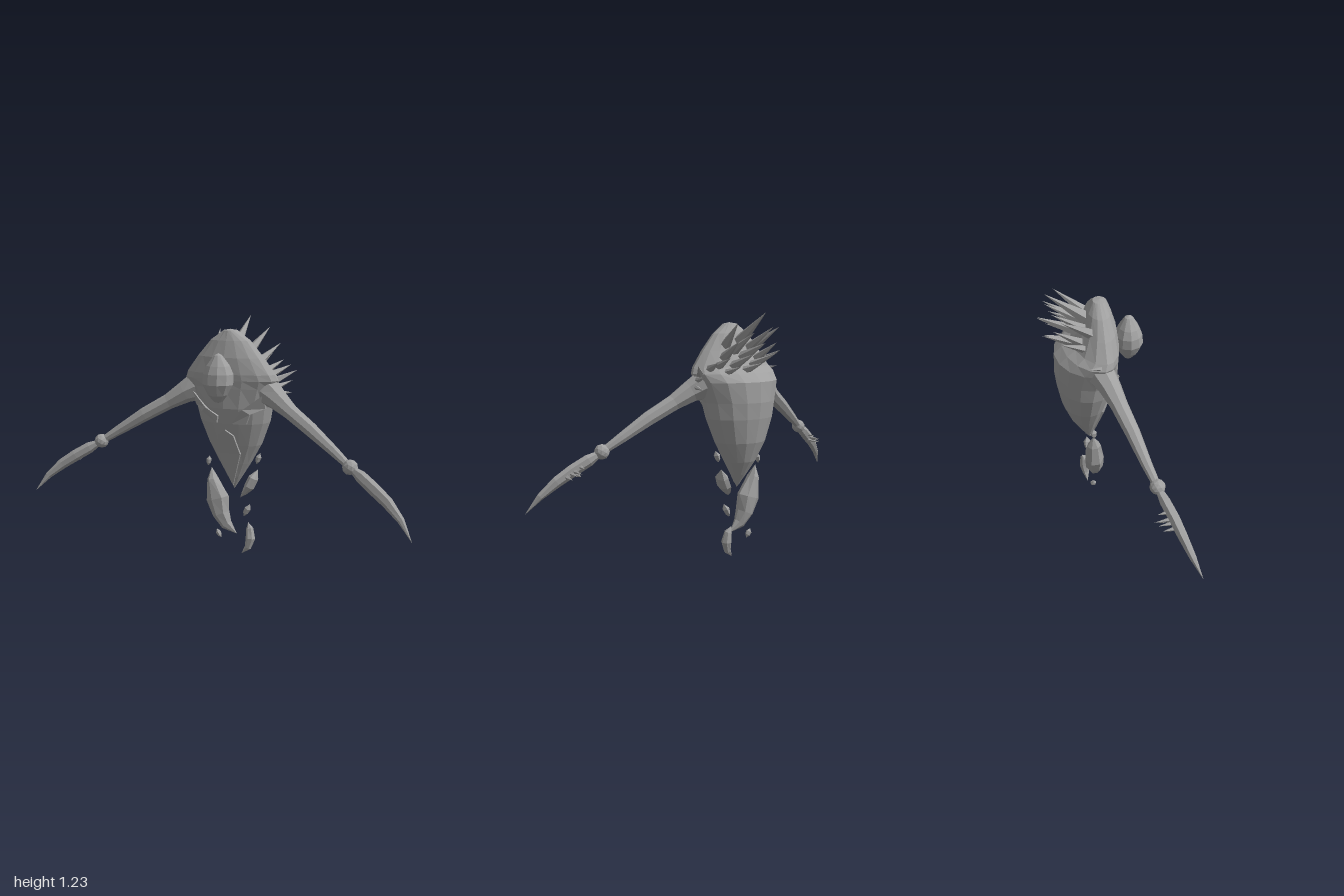
import * as THREE from 'three';

const stone = new THREE.MeshStandardMaterial({ color: 0xa0a0a0 });
stone.name = 'grey stone';
const V = (x, y, z) => new THREE.Vector3(x, y, z);

function add(parent, geometry, name) {
  const flat = geometry.index ? geometry.toNonIndexed() : geometry;
  flat.computeVertexNormals();
  const mesh = new THREE.Mesh(flat, stone);
  mesh.name = name;
  parent.add(mesh);
  return mesh;
}

// Joins rings of equal length into a skin
function loft(rings) {
  const pos = [], index = [], n = rings[0].length;
  rings.forEach(r => r.forEach(p => pos.push(p.x, p.y, p.z)));
  for (let i = 0; i < rings.length - 1; i++) {
    for (let j = 0; j < n; j++) {
      const k = (j + 1) % n, a = i * n, b = a + n;
      index.push(a + j, a + k, b + j, a + k, b + k, b + j);
    }
  }
  const g = new THREE.BufferGeometry();
  g.setAttribute('position', new THREE.Float32BufferAttribute(pos, 3));
  g.setIndex(index);
  return g;
}

// Faceted limb along stations [x, y, z, radius up/sideways, radius in depth]
function limb(stations, sides) {
  const pts = stations.map(s => V(s[0], s[1], s[2]));
  return loft(stations.map((s, i) => {
    const t = pts[Math.min(i + 1, pts.length - 1)].clone().sub(pts[Math.max(i - 1, 0)]).normalize();
    const n = V(0, 0, 1).cross(t).normalize(), b = t.clone().cross(n);
    return Array.from({ length: sides }, (_, j) => {
      const a = j / sides * Math.PI * 2;
      return pts[i].clone().addScaledVector(n, Math.cos(a) * s[3]).addScaledVector(b, Math.sin(a) * s[4]);
    });
  }));
}

function spike(parent, base, tip, radius, name) {
  const d = tip.clone().sub(base), h = d.length();
  const m = add(parent, new THREE.ConeGeometry(radius, h, 5), name);
  m.position.copy(base).addScaledVector(d, 0.5);
  m.quaternion.setFromUnitVectors(V(0, 1, 0), d.normalize());
}

// Body levels: y, half width, front z, back z, z of the widest point
const BODY = [
  [1.185, 0, 0.005, 0.005, 0.005], [1.178, 0.035, 0.035, -0.03, 0], [1.13, 0.105, 0.055, -0.06, 0],
  [1.05, 0.175, 0.08, -0.09, 0], [0.97, 0.235, 0.09, -0.135, 0], [0.94, 0.25, 0.09, -0.18, -0.01],
  [0.9, 0.235, 0.09, -0.22, -0.03], [0.8, 0.2, 0.09, -0.222, -0.05], [0.72, 0.185, 0.07, -0.212, -0.06],
  [0.6, 0.14, 0.03, -0.187, -0.065], [0.5, 0.085, 0, -0.145, -0.065], [0.43, 0.043, -0.022, -0.1, -0.06],
  [0.36, 0, -0.05, -0.05, -0.05],
];

// Depth of the front of the body at x, y
function frontZ(x, y) {
  let i = 0;
  while (i < BODY.length - 2 && BODY[i + 1][0] > y) i++;
  const f = (BODY[i][0] - y) / (BODY[i][0] - BODY[i + 1][0]);
  const [, w, zf, , zc] = BODY[i].map((v, k) => v + (BODY[i + 1][k] - v) * f);
  return zc + (zf - zc) * Math.sqrt(Math.max(0, 1 - (x / Math.max(w, 0.001)) ** 2));
}

// Plate that follows the front of the body
function plate(parent, outline, lift, name) {
  const g = new THREE.ExtrudeGeometry(new THREE.Shape(outline.map(p => new THREE.Vector2(...p))),
    { depth: 0.04, bevelEnabled: false });
  const p = g.attributes.position;
  for (let i = 0; i < p.count; i++) p.setZ(i, p.getZ(i) + frontZ(p.getX(i), p.getY(i)) - 0.04 + lift);
  add(parent, g, name);
}

export function createModel() {
  const root = new THREE.Group();
  root.name = 'floating golem';

  add(root, loft(BODY.map(([y, w, zf, zb, zc]) => Array.from({ length: 16 }, (_, j) => {
    const a = j / 16 * Math.PI * 2, s = Math.sin(a);
    return V(w * Math.cos(a), y, zc + s * (s > 0 ? zf - zc : zc - zb));
  }))), 'body');

  // Floating head, pointed on top and blunt below
  add(root, limb([[0, 1.08, 0.145, 0, 0], [0, 1.07, 0.145, 0.02, 0.02], [0, 1.02, 0.145, 0.06, 0.05],
    [0, 0.98, 0.145, 0.077, 0.067], [0, 0.93, 0.147, 0.077, 0.07], [0, 0.88, 0.147, 0.05, 0.048],
    [0, 0.845, 0.143, 0.022, 0.02], [0, 0.838, 0.143, 0, 0]], 10), 'head');

  for (const s of [1, -1]) {
    const side = s > 0 ? 'left' : 'right';
    const arm = new THREE.Group();
    arm.name = side + 'Arm';
    root.add(arm);
    const mirror = list => list.map(([x, ...r]) => [s * x, ...r]);

    add(arm, limb(mirror([[0.13, 0.91, -0.03, 0.06, 0.06], [0.2, 0.882, -0.015, 0.073, 0.066],
      [0.25, 0.855, 0.01, 0.056, 0.055], [0.33, 0.805, 0.04, 0.04, 0.042], [0.45, 0.735, 0.08, 0.036, 0.036],
      [0.58, 0.65, 0.12, 0.026, 0.026], [0.65, 0.603, 0.145, 0.019, 0.02], [0.66, 0.597, 0.148, 0, 0]]), 8),
    'upperArm');
    add(arm, new THREE.IcosahedronGeometry(0.037, 1), 'elbow').position.set(s * 0.67, 0.59, 0.152);
    add(arm, limb(mirror([[0.67, 0.59, 0.152, 0, 0], [0.69, 0.578, 0.158, 0.018, 0.018],
      [0.73, 0.555, 0.172, 0.03, 0.025], [0.8, 0.512, 0.2, 0.031, 0.026], [0.87, 0.464, 0.225, 0.028, 0.023],
      [0.94, 0.4, 0.257, 0.017, 0.016], [1, 0.318, 0.295, 0, 0]]), 7), 'forearmBlade');
    // Barbs on the back of the forearm
    [[0.775, 0.53, 0.19, 0.13], [0.8, 0.51, 0.2, 0.11], [0.815, 0.5, 0.205, 0.125],
      [0.835, 0.485, 0.21, 0.14], [0.79, 0.495, 0.195, 0.135]].forEach(([x, y, z, tip]) =>
      spike(arm, V(s * x, y, z - 0.01), V(s * (x + 0.005), y - 0.005, tip), 0.012, 'forearmBarb'));

    // Angular chest plates
    plate(root, mirror([[0.195, 0.875], [0.19, 0.8], [0.13, 0.775], [0.11, 0.725], [0.04, 0.725],
      [0.03, 0.762], [0.1, 0.8]]), 0.014, side + 'ChestPlate');
  }
  // Keel on the lower front
  plate(root, [[0, 0.69], [-0.04, 0.66], [-0.06, 0.56], [0, 0.38], [0.06, 0.56], [0.04, 0.66]], 0.012, 'bellyKeel');

  // Back spikes: base x, y, z, tip x, y, z, radius
  [
    [0, 1.08, -0.05, 0, 1.235, -0.255, 0.036], [0.08, 1.07, -0.05, 0.13, 1.185, -0.2, 0.028],
    [-0.1, 1.06, -0.05, -0.15, 1.165, -0.2, 0.028], [-0.05, 1.05, -0.06, -0.07, 1.165, -0.235, 0.027],
    [0.05, 1.04, -0.07, 0.07, 1.14, -0.25, 0.027], [0.01, 1.01, -0.09, 0.04, 1.09, -0.29, 0.032],
    [-0.08, 1, -0.09, -0.1, 1.09, -0.23, 0.026], [0.11, 1.01, -0.07, 0.17, 1.1, -0.25, 0.028],
    [-0.03, 0.97, -0.11, -0.05, 1.04, -0.275, 0.027], [0.08, 0.97, -0.1, 0.11, 1.04, -0.285, 0.028],
    [-0.12, 0.99, -0.08, -0.155, 1.05, -0.2, 0.022], [0.15, 0.97, -0.07, 0.2, 1.02, -0.22, 0.024],
    [0.03, 0.95, -0.13, 0.03, 0.995, -0.265, 0.024], [0.13, 0.94, -0.1, 0.15, 0.98, -0.24, 0.022],
    [0.19, 0.96, -0.06, 0.25, 1.0, -0.19, 0.022], [0.23, 0.94, -0.04, 0.31, 0.985, -0.12, 0.018],
    [0.24, 0.91, -0.03, 0.28, 0.93, -0.13, 0.016], [0.25, 0.88, -0.02, 0.28, 0.87, -0.12, 0.015],
    [-0.23, 0.95, -0.03, -0.25, 0.965, -0.08, 0.012],
  ].forEach(([a, b, c, d, e, f, r]) => spike(root, V(a, b, c), V(d, e, f), r, 'backSpike'));

  // Large drifting shards
  [
    [[-0.13, 0.46, -0.05, 0, 0], [-0.122, 0.4, -0.045, 0.028, 0.035], [-0.09, 0.3, -0.04, 0.064, 0.05],
      [-0.068, 0.22, -0.035, 0.047, 0.046], [-0.035, 0.165, -0.03, 0.032, 0.028], [0.025, 0.123, -0.025, 0, 0]],
    [[0.122, 0.468, -0.07, 0, 0], [0.105, 0.425, -0.055, 0.026, 0.04], [0.085, 0.38, -0.05, 0.026, 0.045],
      [0.06, 0.345, -0.04, 0.014, 0.025], [0.04, 0.32, -0.03, 0, 0]],
    [[0.065, 0.175, -0.08, 0, 0], [0.078, 0.145, -0.072, 0.02, 0.018], [0.085, 0.095, -0.066, 0.026, 0.027],
      [0.072, 0.045, -0.06, 0.018, 0.018], [0.038, 0.008, -0.055, 0, 0]],
  ].forEach(s => add(root, limb(s, 7), 'largeShard'));

  // Small drifting shards: top x, y, bottom x, y, z, radius
  [[0.142, 0.56, 0.122, 0.5, -0.05, 0.015], [-0.142, 0.52, -0.15, 0.465, -0.05, 0.014],
    [0.088, 0.285, 0.052, 0.215, -0.05, 0.017], [-0.1, 0.128, -0.073, 0.083, -0.045, 0.014],
  ].forEach(([a, b, c, d, z, r]) => add(root, limb([[a, b, z, 0, 0],
    [a * 0.65 + c * 0.35, b * 0.65 + d * 0.35, z, r, r * 1.2],
    [a * 0.3 + c * 0.7, b * 0.3 + d * 0.7, z, r * 0.8, r], [c, d, z, 0, 0]], 5), 'smallShard'));

  return root;
}
